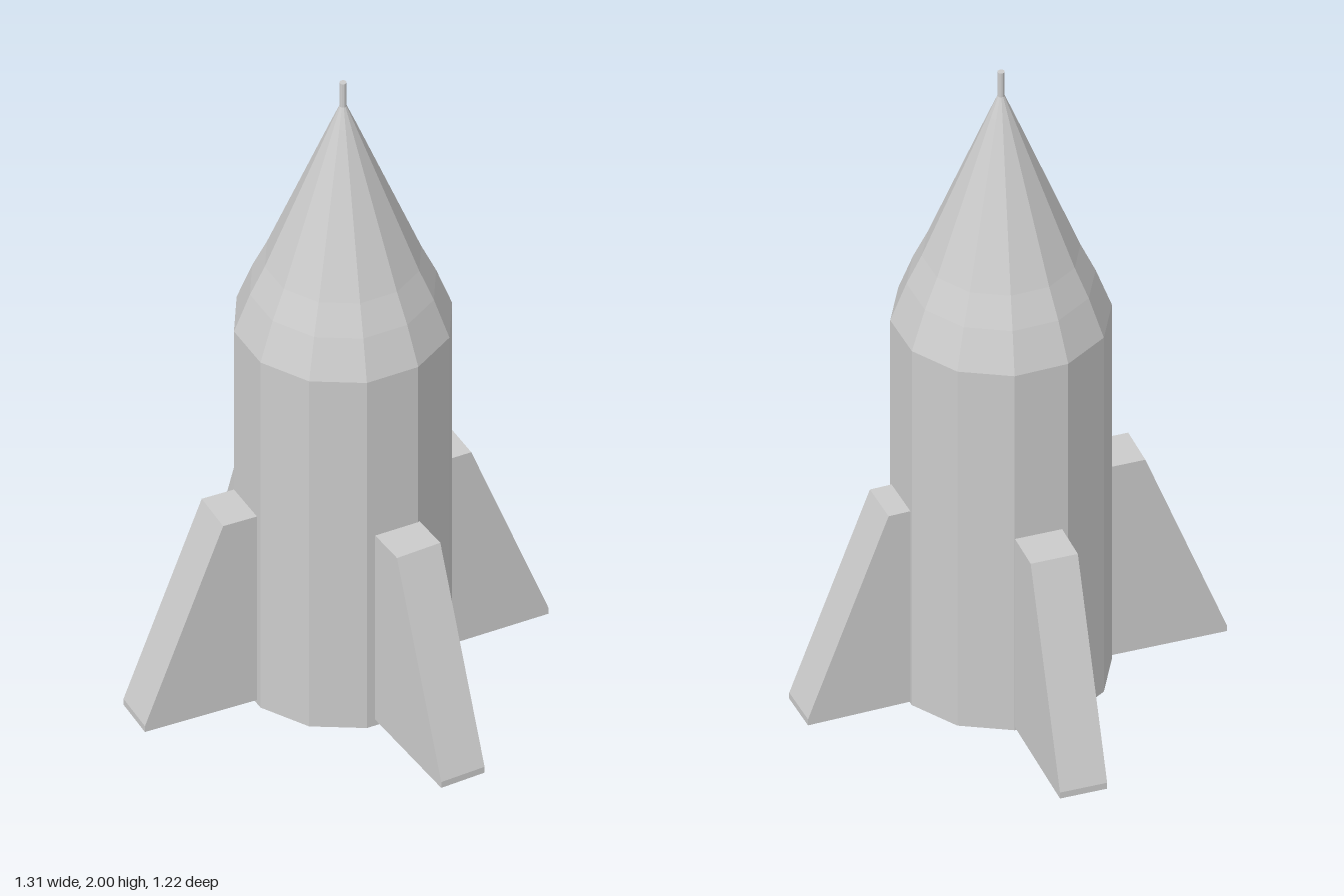
import * as THREE from 'three';

const material = new THREE.MeshStandardMaterial({ color: 0xcccccc, flatShading: true });

// Tapered slab: profile runs outward along x, thickness is centred on z
function makeFin({ name, angle, inner, top, outer, base, height }) {
  const thickness = 0.138;
  const profile = [
    [inner, base], [outer, base], [outer, base + 0.02], [top, height], [inner, height],
  ].map(([r, y]) => new THREE.Vector2(r, y));
  const geometry = new THREE.ExtrudeGeometry(new THREE.Shape(profile), {
    depth: thickness, bevelEnabled: false,
  });
  geometry.translate(0, 0, -thickness / 2);
  const fin = new THREE.Mesh(geometry, material);
  fin.name = name;
  fin.rotation.y = THREE.MathUtils.degToRad(angle);
  return fin;
}

export function createModel() {
  const rocket = new THREE.Group();
  rocket.name = 'rocket';
  rocket.position.z = -0.016;

  // Twelve-sided hull: recessed nozzle, straight body, nose cone and tip rod
  const hullProfile = [
    [0, 0.08], [0.23, 0.08], [0.23, 0], [0.307, 0], [0.307, 1.19],
    [0.262, 1.31], [0.22, 1.4], [0.035, 1.86], [0.01, 1.92], [0.01, 2], [0, 2],
  ].map(([r, y]) => new THREE.Vector2(r, y));
  const hull = new THREE.Mesh(new THREE.LatheGeometry(hullProfile, 12), material);
  hull.name = 'hull';
  rocket.add(hull);

  // Four fins, each set slightly differently around the hull
  const fins = [
    { name: 'leftFin', angle: -12, inner: 0.291, top: 0.412, outer: 0.653, base: 0.02, height: 0.655 },
    { name: 'backFin', angle: 75, inner: 0.29, top: 0.361, outer: 0.6, base: 0.005, height: 0.645 },
    { name: 'rightFin', angle: 163, inner: 0.302, top: 0.428, outer: 0.664, base: 0.012, height: 0.645 },
    { name: 'frontFin', angle: -107, inner: 0.225, top: 0.397, outer: 0.635, base: 0.012, height: 0.645 },
  ];
  for (const fin of fins) rocket.add(makeFin(fin));

  const model = new THREE.Group();
  model.name = 'rocketModel';
  model.add(rocket);
  return model;
}
